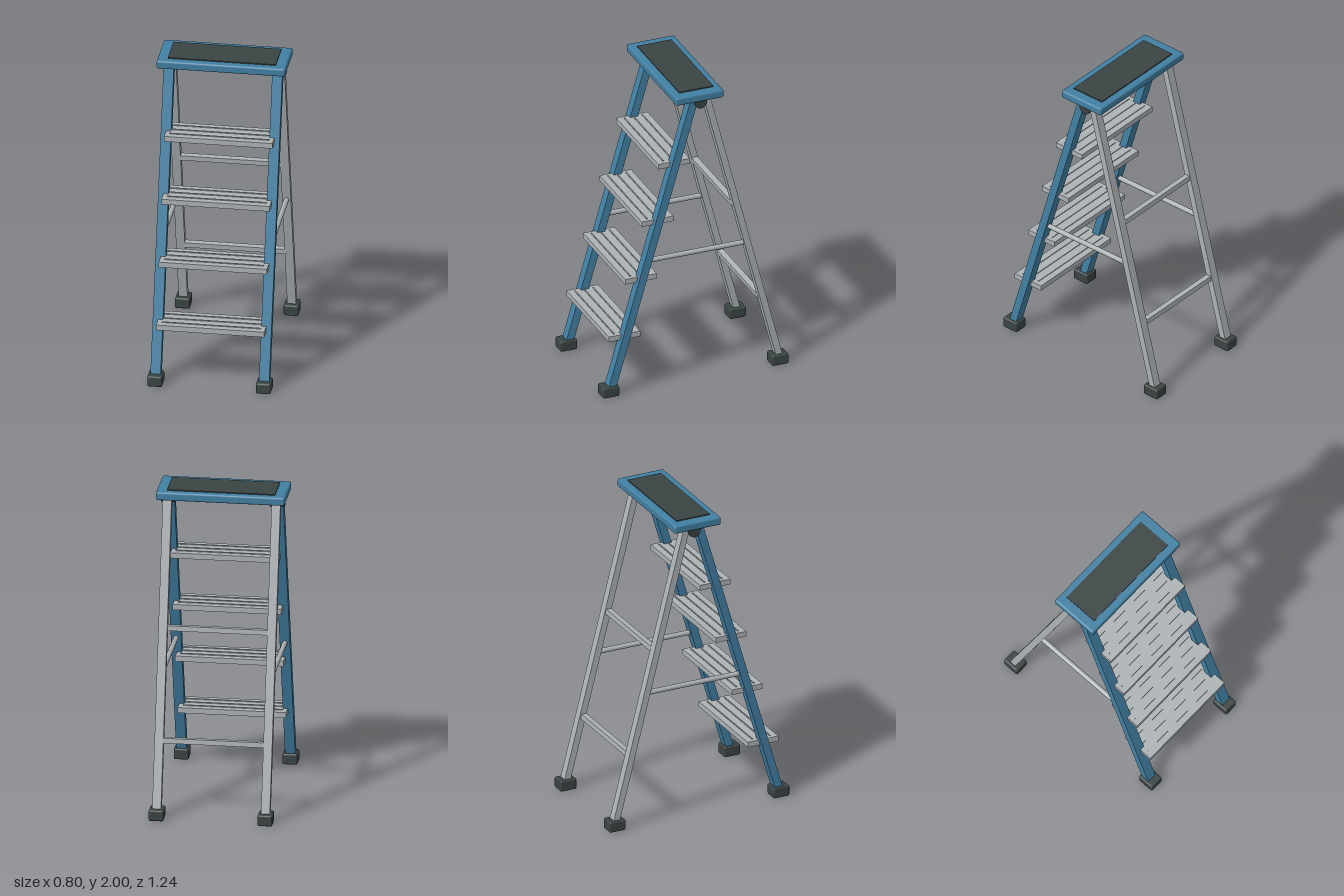
import * as THREE from 'three';
import { RoundedBoxGeometry } from 'three/addons/geometries/RoundedBoxGeometry.js';

export function createModel() {
  const model = new THREE.Group();
  model.name = 'stepLadder';
  const material = (name, color) => new THREE.MeshStandardMaterial({ name, color });
  const blue = material('bluePaint', 0x4280a3);
  const metal = material('aluminium', 0xadb2b5);
  const rubber = material('darkRubber', 0x3a4443);

  function add(name, geometry, mat, x, y, z, parent = model) {
    const mesh = new THREE.Mesh(geometry, mat);
    mesh.name = name;
    mesh.position.set(x, y, z);
    parent.add(mesh);
    return mesh;
  }

  // Slanted rail between two (y, z) points
  function rail(name, mat, x, bottom, top, width, depth) {
    const dy = top[0] - bottom[0], dz = top[1] - bottom[1];
    const geometry = new THREE.BoxGeometry(width, Math.hypot(dy, dz), depth);
    const mesh = add(name, geometry, mat, x, (top[0] + bottom[0]) / 2, (top[1] + bottom[1]) / 2);
    mesh.rotation.x = Math.atan2(dz, dy);
  }

  // Rails, feet, hinges and side braces, mirrored left and right
  const railX = 0.338;
  for (const [side, s] of [['left', 1], ['right', -1]]) {
    const x = s * railX;
    rail(side + 'FrontRail', blue, x, [0.03, 0.562], [1.95, 0.004], 0.064, 0.05);
    rail(side + 'RearRail', metal, x, [0.03, -0.57], [1.95, -0.078], 0.055, 0.042);
    for (const [end, z] of [['Front', 0.565], ['Rear', -0.562]]) {
      add(side + end + 'Foot', new RoundedBoxGeometry(0.092, 0.07, 0.11, 2, 0.01), rubber, x, 0.035, z);
    }
    const hinge = add(side + 'Hinge', new THREE.CylinderGeometry(0.04, 0.04, 0.09, 24), rubber, x, 1.926, -0.033);
    hinge.rotation.z = Math.PI / 2;
    const brace = add(side + 'Brace', new THREE.CylinderGeometry(0.016, 0.016, 0.64, 12), metal, x, 0.878, -0.012);
    brace.rotation.x = Math.PI / 2;
  }

  // Treads with three grip ribs each
  for (let i = 0; i < 4; i++) {
    const step = new THREE.Group();
    step.name = 'step' + (i + 1);
    step.position.set(0, 0.38 + i * 0.377, 0.459 - i * 0.11);
    add('tread', new THREE.BoxGeometry(0.674, 0.035, 0.21), metal, 0, 0, 0, step);
    for (const z of [-0.06, 0, 0.06]) {
      add('gripRib', new THREE.BoxGeometry(0.62, 0.006, 0.007), metal, 0, 0.0195, z, step);
    }
    model.add(step);
  }

  // Rear cross rungs, square to the slanted rear rails
  for (const [y, z] of [[0.475, -0.451], [1.15, -0.28]]) {
    const rung = add('rearRung', new THREE.BoxGeometry(0.64, 0.032, 0.038), metal, 0, y, z);
    rung.rotation.x = 0.1;
  }

  // Top platform and its mat
  add('topPlatform', new RoundedBoxGeometry(0.8, 0.053, 0.318, 3, 0.012), blue, 0, 1.967, -0.019);
  add('topMat', new THREE.BoxGeometry(0.672, 0.01, 0.228), rubber, 0, 1.995, -0.021);

  return model;
}
